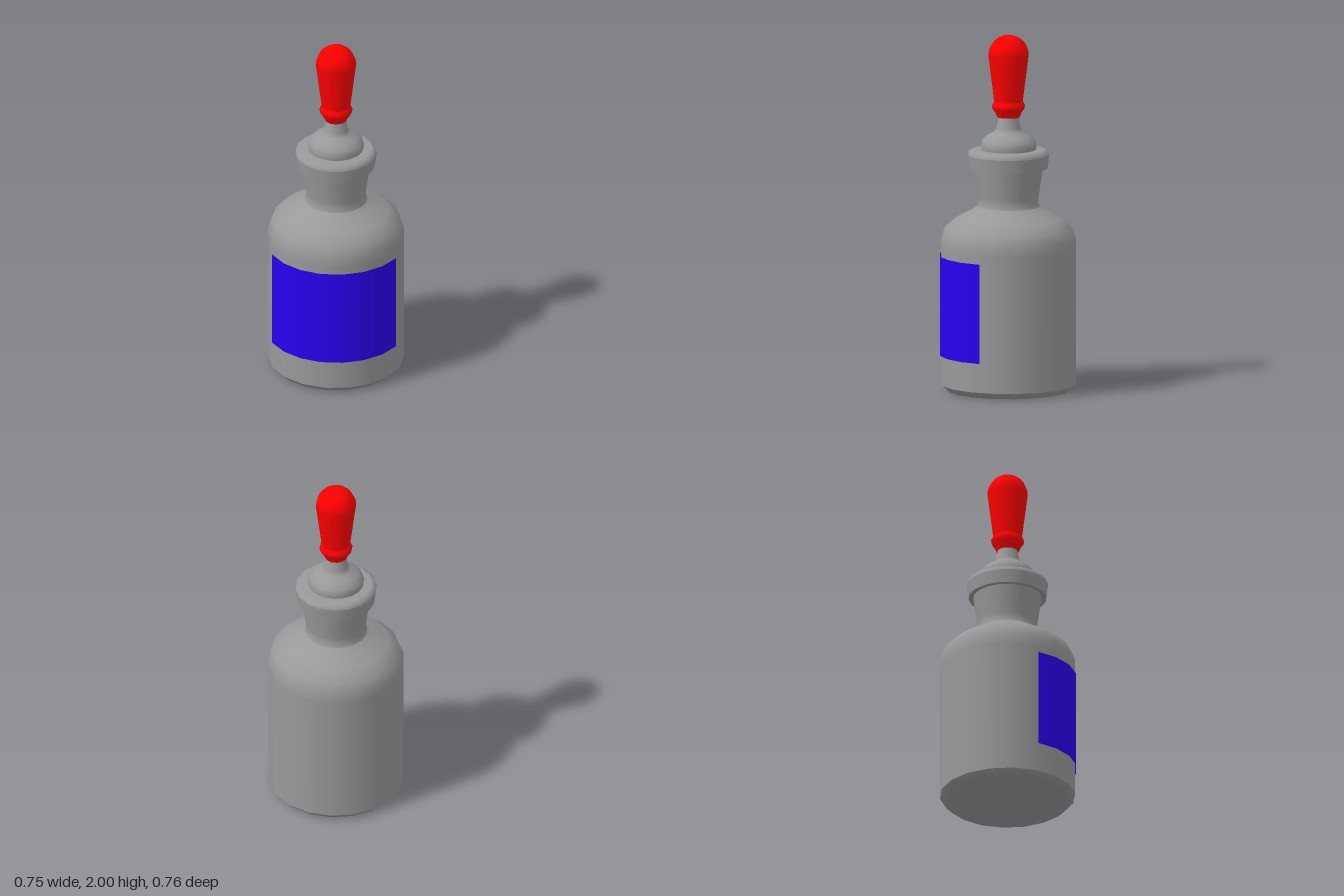
import * as THREE from 'three';
import { mergeGeometries } from 'three/addons/utils/BufferGeometryUtils.js';

const rad = THREE.MathUtils.degToRad;

// Each section is a smooth run of [radius, y]; breaks between sections stay sharp.
function turned(name, sections, sides, startDeg, material) {
  const parts = sections.map(s => new THREE.LatheGeometry(
    s.map(([r, y]) => new THREE.Vector2(r, y)), sides, rad(startDeg)));
  const mesh = new THREE.Mesh(mergeGeometries(parts), material);
  mesh.name = name;
  return mesh;
}

export function createModel() {
  const model = new THREE.Group();
  model.name = 'dropperBottle';
  const grey = new THREE.MeshStandardMaterial({ color: 0x999999 });
  const red = new THREE.MeshStandardMaterial({ color: 0xff0000 });
  const blue = new THREE.MeshStandardMaterial({ color: 0x2800f0, side: THREE.DoubleSide });

  // Bottle: base running into its bevel, wall with rounded shoulder, neck
  model.add(turned('bottle', [
    [[0, 0], [0.342, 0], [0.378, 0.035]],
    [[0.378, 0.035], [0.378, 0.8], [0.377, 0.855], [0.354, 0.915], [0.298, 0.965], [0.205, 1.012], [0.175, 1.035]],
    [[0.175, 1.035], [0.166, 1.06], [0.168, 1.09], [0.18, 1.17], [0.192, 1.25]],
  ], 18, 15, grey));

  // Collar around the mouth
  model.add(turned('collar', [
    [[0.188, 1.25], [0.218, 1.25]],
    [[0.218, 1.25], [0.227, 1.325]],
    [[0.227, 1.325], [0.222, 1.345], [0.2, 1.355], [0.14, 1.355]],
  ], 18, 15, grey));

  // Domed stopper with a tapered stem
  model.add(turned('stopper', [
    [[0.152, 1.35], [0.157, 1.375], [0.149, 1.405], [0.122, 1.432], [0.08, 1.455], [0.067, 1.475], [0.054, 1.55]],
  ], 18, 15, grey));

  // Squeeze bulb: flared lip, tapered grip, hemispherical top
  const grip = [[0.08, 1.625], [0.113, 1.887]];
  for (let i = 1; i <= 6; i++) {
    const a = (i / 6) * Math.PI / 2;
    grip.push([0.113 * Math.cos(a), 1.887 + 0.113 * Math.sin(a)]);
  }
  model.add(turned('bulb', [
    [[0.04, 1.537], [0.063, 1.537]],
    [[0.063, 1.537], [0.072, 1.56], [0.09, 1.585], [0.092, 1.605], [0.08, 1.625]],
    grip,
  ], 12, 5, red));

  // Curved label wrapped around the front, just clear of the wall
  const label = new THREE.Mesh(
    new THREE.CylinderGeometry(0.386, 0.386, 0.56, 7, 1, true, rad(-63), rad(127.3)), blue);
  label.name = 'label';
  label.position.y = 0.48;
  model.add(label);

  return model;
}
